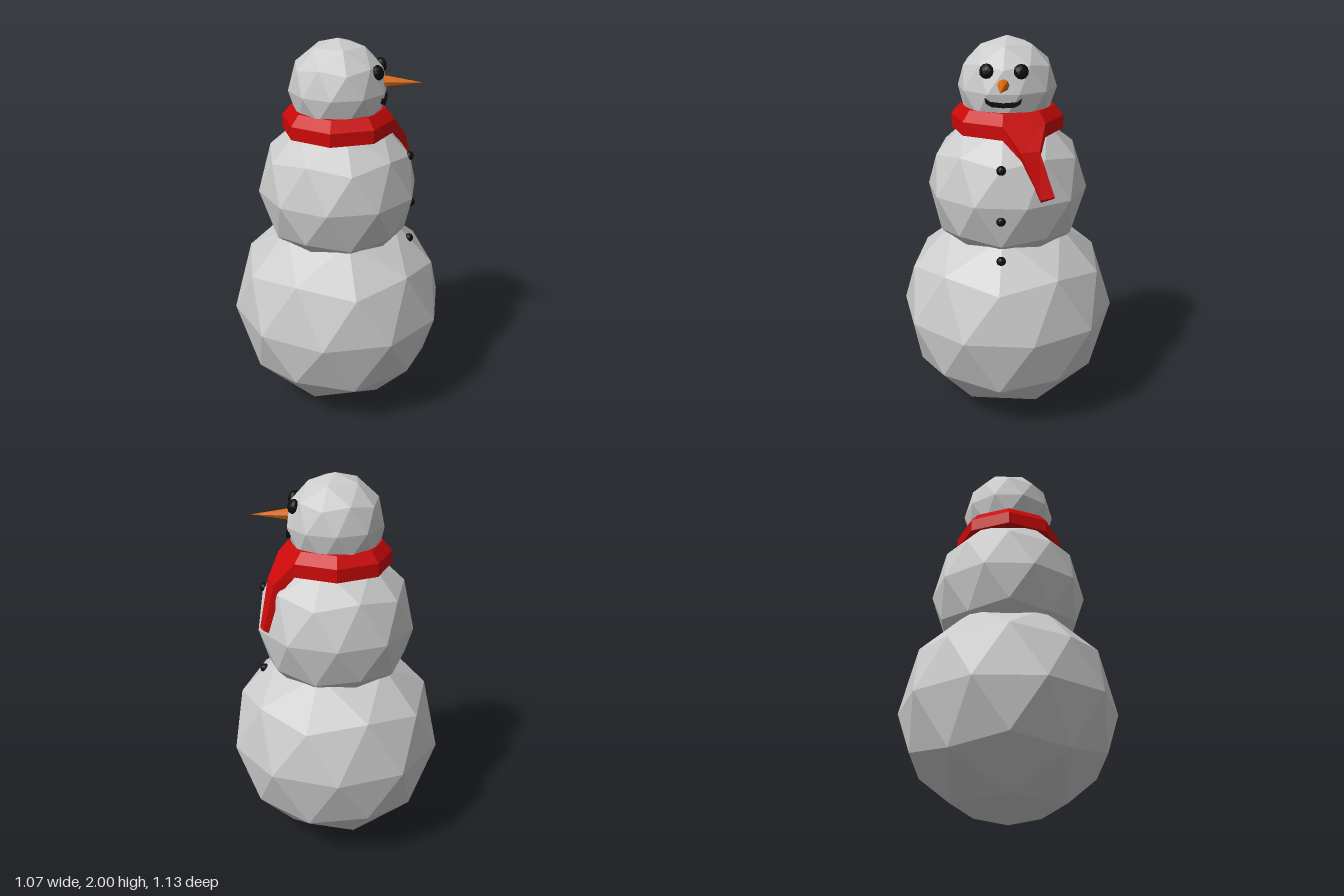
import * as THREE from 'three';

const mat = (color) => new THREE.MeshStandardMaterial({ color, flatShading: true });
const snow = mat(0xcccccc), red = mat(0xcc0808), black = mat(0x0c0c0c), orange = mat(0xd9680f);

// Low-poly ball with a corner at each pole
function ball(radius) {
  const g = new THREE.IcosahedronGeometry(radius, 1);
  g.rotateZ(-Math.atan(2 / (1 + Math.sqrt(5))));
  return g;
}

// Skin a list of four-cornered sections and cap the last one
function loft(sections) {
  const pos = sections.flat(2), index = [];
  for (let s = 0; s < sections.length - 1; s++) {
    for (let i = 0; i < 4; i++) {
      const a = s * 4 + i, b = s * 4 + (i + 1) % 4;
      index.push(a, a + 4, b, b, a + 4, b + 4);
    }
  }
  const e = (sections.length - 1) * 4;
  index.push(e, e + 2, e + 1, e, e + 3, e + 2);
  const g = new THREE.BufferGeometry();
  g.setAttribute('position', new THREE.Float32BufferAttribute(pos, 3));
  g.setIndex(index);
  g.computeVertexNormals();
  return g;
}

export function createModel() {
  const model = new THREE.Group();
  model.name = 'snowman';
  const add = (name, geometry, material, x = 0, y = 0, z = 0) => {
    const m = new THREE.Mesh(geometry, material);
    m.name = name;
    m.position.set(x, y, z);
    model.add(m);
    return m;
  };

  // Three stacked snowballs
  add('lowerBody', ball(0.563), snow, 0, 0.566, 0);
  add('upperBody', ball(0.412), snow, 0, 1.232, 0);
  add('head', ball(0.249), snow, 0, 1.751, 0);

  // Face, looking along +x
  for (const side of [1, -1]) {
    const eye = add(side > 0 ? 'rightEye' : 'leftEye', ball(0.037), black, 0.205, 1.857, side * 0.083);
    eye.scale.x = 0.7;
    eye.rotation.set(0, -side * 0.35, 0.3);
  }

  const cone = new THREE.ConeGeometry(0.03, 0.19, 8);
  cone.rotateZ(-Math.PI / 2);
  add('nose', cone, orange, 0.32, 1.795, 0);

  const smile = new THREE.Shape([
    [-0.09, 1.733], [-0.083, 1.708], [-0.055, 1.692], [0, 1.688], [0.055, 1.692],
    [0.083, 1.708], [0.09, 1.733], [0.066, 1.716], [0, 1.709], [-0.066, 1.716],
  ].map(([x, y]) => new THREE.Vector2(x, y)));
  const mouth = new THREE.ExtrudeGeometry(smile, { depth: 0.035, bevelEnabled: false });
  mouth.rotateY(Math.PI / 2);
  add('mouth', mouth, black, 0.206, 0, 0);

  // Buttons down the front
  for (const [x, y] of [[0.363, 1.414], [0.378, 1.162], [0.378, 0.954]]) {
    add('button', ball(0.024), black, x, y, 0);
  }

  // Eight-sided scarf collar with a sloping top edge
  const collar = [[0.19, 1.66], [0.19, 1.54], [0.285, 1.54], [0.285, 1.607], [0.24, 1.66], [0.19, 1.66]];
  add('scarfCollar', new THREE.LatheGeometry(collar.map(([x, y]) => new THREE.Vector2(x, y)), 8), red);

  // Scarf tail: sections run outer +z, outer -z, inner -z, inner +z
  add('scarfTail', loft([
    [[0.285, 1.607, 0], [0.201, 1.607, -0.201], [0.201, 1.54, -0.201], [0.285, 1.54, 0]],
    [[0.338, 1.495, -0.09], [0.305, 1.495, -0.18], [0.275, 1.45, -0.18], [0.325, 1.45, -0.095]],
    [[0.378, 1.275, -0.19], [0.357, 1.285, -0.257], [0.333, 1.27, -0.25], [0.352, 1.255, -0.19]],
  ]), red).material.side = THREE.DoubleSide;

  return model;
}
